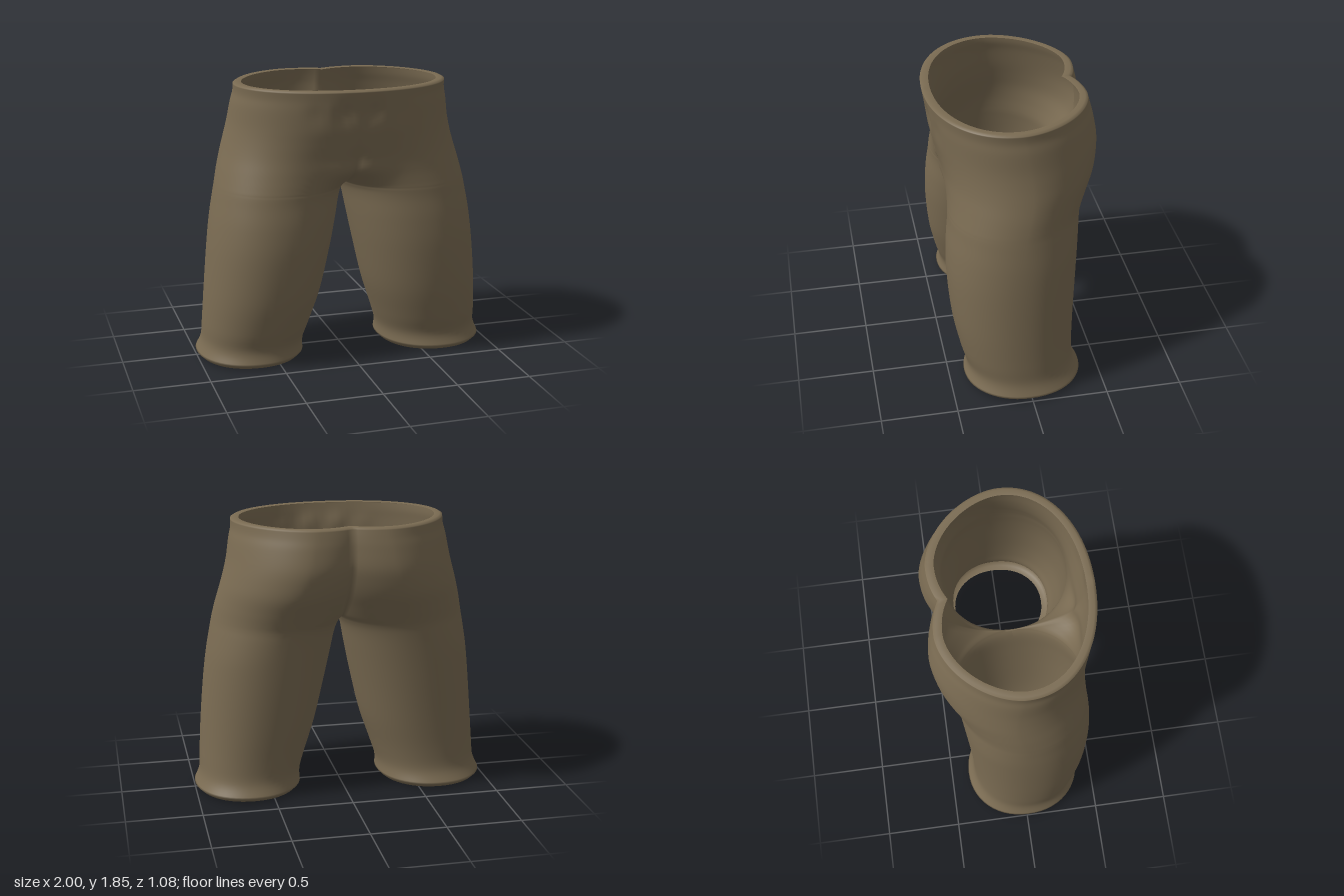
import * as THREE from 'three';
import { mergeVertices } from 'three/addons/utils/BufferGeometryUtils.js';

// Cross-sections of the left half, hem to waist:
// [height, outer x, inner x (front arc), inner x (back arc), front z, back z, fullness at front centre]
// A negative inner x means the section is cut open at the centre plane.
const SECTIONS = [
  [0.035, 1.0, 0.278, 0.278, 0.4, -0.38, 0],
  [0.12, 0.966, 0.277, 0.277, 0.38, -0.338, 0],
  [0.25, 0.957, 0.237, 0.237, 0.415, -0.332, 0],
  [0.47, 0.942, 0.165, 0.165, 0.458, -0.345, 0],
  [0.75, 0.917, 0.1, 0.1, 0.478, -0.365, 0],
  [0.95, 0.893, 0.058, 0.058, 0.472, -0.38, 0],
  [1.1, 0.868, 0.028, 0.028, 0.455, -0.393, 0],
  [1.17, 0.855, 0.0, 0.0, 0.45, -0.403, 0],
  [1.22, 0.845, -0.04, -0.035, 0.446, -0.422, 0.04],
  [1.3, 0.827, -0.12, -0.075, 0.443, -0.46, 0.09],
  [1.4, 0.8, -0.24, -0.12, 0.448, -0.507, 0.055],
  [1.5, 0.772, -0.38, -0.165, 0.468, -0.532, 0.03],
  [1.6, 0.748, -0.52, -0.205, 0.495, -0.54, 0.01],
  [1.72, 0.728, -0.64, -0.24, 0.52, -0.522, 0],
  [1.79, 0.712, -0.68, -0.255, 0.53, -0.505, 0],
  [1.845, 0.71, -0.71, -0.26, 0.538, -0.49, 0],
];
const SIDES = 56;
const STEPS = 5;
const POWER = 0.94; // slightly squared ellipse

// Smoothly interpolated section
function sectionAt(t) {
  const last = SECTIONS.length - 1;
  const i = Math.min(Math.floor(t), last - 1);
  const f = t - i;
  const at = (k) => SECTIONS[Math.max(0, Math.min(last, k))];
  return SECTIONS[0].map((_, c) => {
    const p0 = at(i - 1)[c], p1 = at(i)[c], p2 = at(i + 1)[c], p3 = at(i + 2)[c];
    const m1 = (p2 - p0) / 2, m2 = (p3 - p1) / 2;
    return p1 + f * m1 + f * f * (3 * (p2 - p1) - 2 * m1 - m2) + f * f * f * (2 * (p1 - p2) + m1 + m2);
  });
}

// Points around one section, from the inner seam over the front to the back
function ring(section, inset = 0, lift = 0) {
  const [y, xo, xiF, xiB, zf, zb, fullness] = section;
  const outer = xo - inset;
  const cz = (zf + zb) / 2;
  const rz = (zf - zb) / 2 - inset;
  // the hips slim down towards the outer back
  const hipPower = POWER + 0.2 * THREE.MathUtils.smoothstep(y, 0.9, 1.4);
  const points = [];
  for (let j = 0; j <= SIDES; j++) {
    const turn = 1 - (2 * j) / SIDES;
    const front = turn >= 0;
    const inner = (front ? xiF : xiB) + inset;
    const cx = (outer + inner) / 2;
    const rx = (outer - inner) / 2;
    // end exactly at the centre plane where the halves join
    const limit = inner < 0 ? Math.acos(-Math.pow(Math.max(0, cx) / rx, 1 / POWER)) : Math.PI;
    const a = Math.abs(turn) * limit;
    const c = Math.cos(a), s = Math.max(0, Math.sin(a));
    const power = !front && c > 0 ? hipPower : POWER;
    let x = cx + rx * Math.sign(c) * Math.pow(Math.abs(c), power);
    if (x < 1e-4) x = 0;
    let z = cz + (front ? 1 : -1) * rz * Math.pow(s, power);
    if (front) z += fullness * Math.exp(-Math.pow(x / 0.16, 2));
    // gathers below the front waistband
    if (front && x < 0.42 && y > 1.5) {
      const fade = Math.exp(-Math.pow((y - 1.7) / 0.07, 2)) * (1 - x / 0.42);
      z -= 0.011 * fade * (1 - Math.cos(x * 32));
    }
    points.push([x, y + lift, z]);
  }
  return points;
}

function trousersGeometry() {
  // Turned-in hem lip, cloth upwards, turned-in waist lip
  const count = (SECTIONS.length - 1) * STEPS;
  const bottom = sectionAt(0);
  const top = sectionAt(SECTIONS.length - 1);
  const rows = [ring(bottom, 0.06, -0.03), ring(bottom, 0.025, -0.025)];
  for (let k = 0; k <= count; k++) rows.push(ring(sectionAt(k / STEPS)));
  rows.push(ring(top, 0.018, 0.01), ring(top, 0.055, 0.006));

  const positions = [];
  const indices = [];
  const width = SIDES + 1;
  const total = rows.length * width;
  for (const side of [1, -1]) {
    for (const row of rows) for (const [x, y, z] of row) positions.push(side * x, y, z);
  }
  const onSeam = (v) => positions[v * 3] === 0;
  const samePoint = (u, v) => [0, 1, 2].every((k) => Math.abs(positions[u * 3 + k] - positions[v * 3 + k]) < 1e-5);
  const addTriangle = (a, b, c) => {
    if (onSeam(a) && onSeam(b) && onSeam(c)) return; // open centre plane
    if (samePoint(a, b) || samePoint(b, c) || samePoint(c, a)) return;
    indices.push(a, b, c, total + a, total + c, total + b);
  };
  for (let i = 0; i < rows.length - 1; i++) {
    const r0 = i * width;
    const r1 = r0 + width;
    for (let j = 0; j < width; j++) {
      const n = (j + 1) % width;
      addTriangle(r0 + j, r0 + n, r1 + n);
      addTriangle(r0 + j, r1 + n, r1 + j);
    }
  }
  const geometry = new THREE.BufferGeometry();
  geometry.setAttribute('position', new THREE.Float32BufferAttribute(positions, 3));
  geometry.setIndex(indices);
  const merged = mergeVertices(geometry, 1e-4);
  merged.computeVertexNormals();
  return merged;
}

export function createModel() {
  const group = new THREE.Group();
  group.name = 'trousers';
  const cloth = new THREE.MeshStandardMaterial({ color: 0x7a6b52, side: THREE.DoubleSide });
  cloth.name = 'brown cloth';
  const mesh = new THREE.Mesh(trousersGeometry(), cloth);
  mesh.name = 'trouserShell';
  group.add(mesh);
  return group;
}
